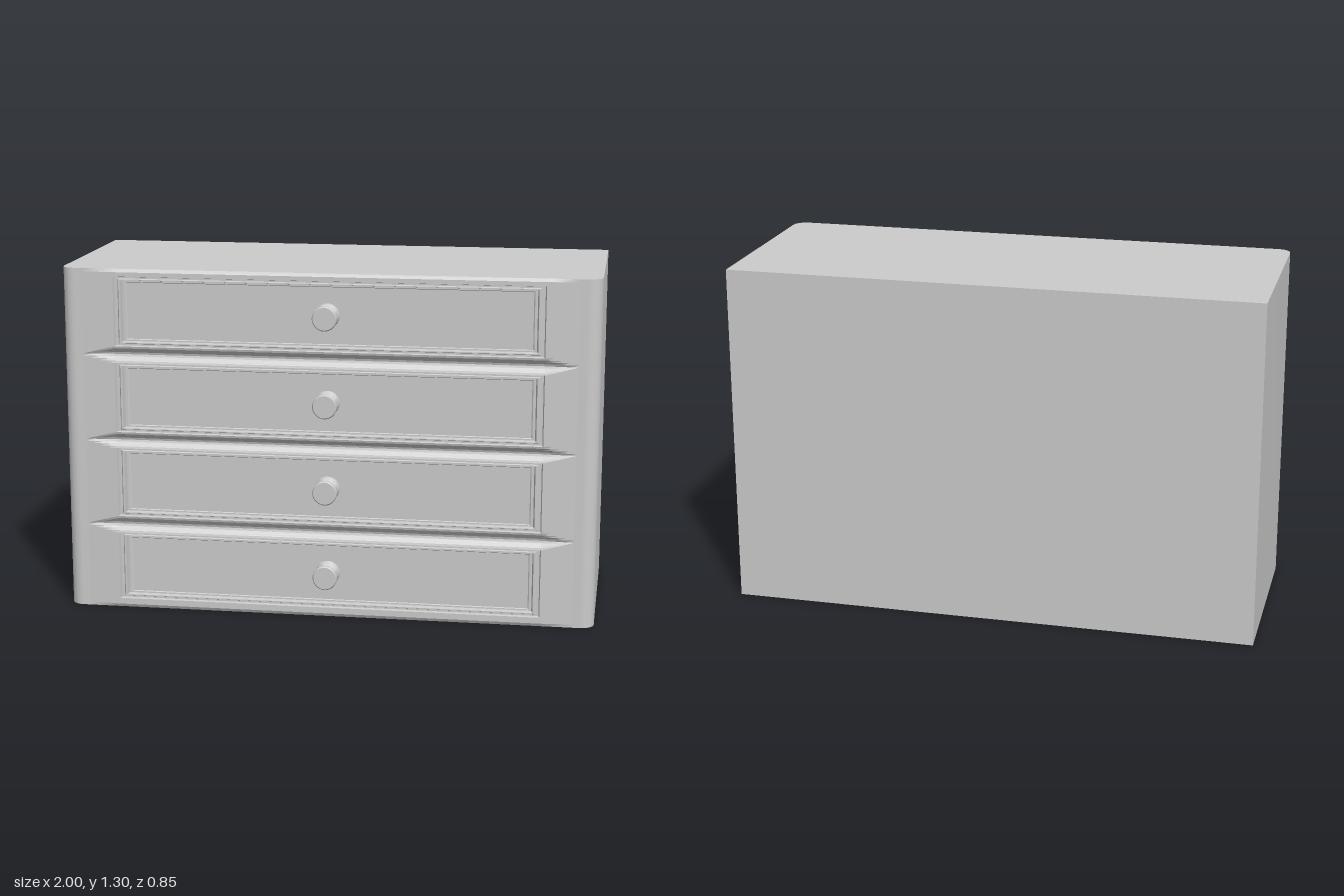
import * as THREE from 'three';
import { toCreasedNormals } from 'three/addons/utils/BufferGeometryUtils.js';

const HEIGHT = 1.305, BACK = -0.425, STILE = 0.367, RIM = 0.374, NOTCH = 0.335;
const HALF_DRAWER = 0.8, HALF_FRONT = 0.95;
const DRAWERS = [[0.035, 0.295], [0.36, 0.625], [0.687, 0.952], [1.015, 1.277]];
const grey = new THREE.MeshStandardMaterial({ color: 0xcccccc });

function part(name, geometry) {
  const mesh = new THREE.Mesh(geometry, grey);
  mesh.name = name;
  return mesh;
}

// Flat-faced surface from a list of quads, corners counter-clockwise
function quadSurface(quads) {
  const pos = quads.flatMap(([a, b, c, d]) => [a, b, c, a, c, d].flat());
  const geometry = new THREE.BufferGeometry();
  geometry.setAttribute('position', new THREE.Float32BufferAttribute(pos, 3));
  geometry.computeVertexNormals();
  return geometry;
}

// Carcass: footprint with rounded front corners, notched behind the drawer front
function carcass() {
  const s = new THREE.Shape();
  s.moveTo(-1, -BACK);
  s.lineTo(1, -BACK);
  s.lineTo(1, -0.317);
  s.absellipse(HALF_FRONT, -0.317, 0.05, 0.05, 0, -Math.PI / 2, true);
  s.lineTo(HALF_FRONT, -NOTCH);
  s.lineTo(-HALF_FRONT, -NOTCH);
  s.lineTo(-HALF_FRONT, -STILE);
  s.absellipse(-HALF_FRONT, -0.317, 0.05, 0.05, -Math.PI / 2, -Math.PI, true);
  s.closePath();
  const g = new THREE.ExtrudeGeometry(s, { depth: HEIGHT, bevelEnabled: false, curveSegments: 8 });
  g.rotateX(-Math.PI / 2);
  return toCreasedNormals(g, 0.6);
}

// Depth of the front: rims beside drawers, lower stiles, tapering coves between drawers
function frontDepth(x, y) {
  const t = THREE.MathUtils.clamp((0.92 - Math.abs(x)) / (0.92 - HALF_DRAWER), 0, 1);
  let z = STILE + (RIM - STILE) * t;
  for (let i = 0; i < DRAWERS.length - 1; i++) {
    const low = DRAWERS[i][1], high = DRAWERS[i + 1][0];
    const s = Math.abs(y - (low + high) / 2) / ((high - low) / 2 * Math.max(t, 0.01));
    if (s < 1) z -= 0.016 * t * (0.5 + 0.5 * Math.cos(Math.PI * s));
  }
  return z;
}

// Front frame: grid with the drawer openings left out
function frontFrame() {
  const half = [HALF_DRAWER, 0.83, 0.86, 0.89, 0.92, HALF_FRONT];
  const xs = [...half.map(x => -x).reverse(), ...half];
  const ys = [0, 0.012];
  DRAWERS.forEach(([low, high], i) => {
    ys.push(low, high);
    const next = DRAWERS[i + 1];
    if (next) for (let k = 1; k < 8; k++) ys.push(high + (next[0] - high) * k / 8);
  });
  ys.push(HEIGHT - 0.012, HEIGHT);
  const point = (x, y) => [x, y, y === 0 || y === HEIGHT ? STILE : frontDepth(x, y)];
  const quads = [];
  for (let i = 0; i < xs.length - 1; i++) {
    const a = xs[i], b = xs[i + 1];
    for (let j = 0; j < ys.length - 1; j++) {
      const isDrawer = a === -HALF_DRAWER && DRAWERS.some(d => d[0] === ys[j]);
      if (!isDrawer) quads.push([point(a, ys[j]), point(b, ys[j]), point(b, ys[j + 1]), point(a, ys[j + 1])]);
    }
    // Top and bottom edges back to the carcass
    quads.push([[a, 0, NOTCH], [b, 0, NOTCH], point(b, 0), point(a, 0)]);
    quads.push([point(a, HEIGHT), point(b, HEIGHT), [b, HEIGHT, NOTCH], [a, HEIGHT, NOTCH]]);
  }
  return quadSurface(quads);
}

// Drawer: nested rectangular rings stepping back to a flat panel
function drawerFront([low, high]) {
  const steps = [[0, RIM], [0.004, 0.362], [0.014, 0.362], [0.018, 0.368],
    [0.024, 0.368], [0.029, 0.35], [0.038, 0.35], [0.042, 0.346]];
  const rings = steps.map(([inset, z]) => {
    const x = HALF_DRAWER - inset * 1.1, y0 = low + inset * 0.6, y1 = high - inset * 0.6;
    return [[-x, y0, z], [x, y0, z], [x, y1, z], [-x, y1, z]];
  });
  const quads = [rings[rings.length - 1]];
  for (let r = 0; r < rings.length - 1; r++) {
    for (let k = 0; k < 4; k++) {
      const n = (k + 1) % 4;
      quads.push([rings[r][k], rings[r][n], rings[r + 1][n], rings[r + 1][k]]);
    }
  }
  return quadSurface(quads);
}

// Knob: flared foot, narrow neck, wide head
function knobGeometry() {
  const profile = [[0.046, 0], [0.045, 0.008], [0.037, 0.016], [0.031, 0.026], [0.031, 0.034],
    [0.036, 0.044], [0.042, 0.058], [0.046, 0.068], [0.046, 0.076], [0.042, 0.081], [0.036, 0.081], [0, 0.081]];
  const g = new THREE.LatheGeometry(profile.map(p => new THREE.Vector2(...p)), 28);
  g.rotateX(Math.PI / 2);
  return toCreasedNormals(g, 0.7);
}

export function createModel() {
  const model = new THREE.Group();
  model.name = 'chestOfDrawers';
  model.add(part('carcass', carcass()), part('frontFrame', frontFrame()));
  const knobShape = knobGeometry();
  DRAWERS.forEach((range, i) => {
    const drawer = new THREE.Group();
    drawer.name = `drawer${i + 1}`;
    const knob = part('knob', knobShape);
    knob.position.set(0, (range[0] + range[1]) / 2, 0.345);
    drawer.add(part('drawerFront', drawerFront(range)), knob);
    model.add(drawer);
  });
  return model;
}
